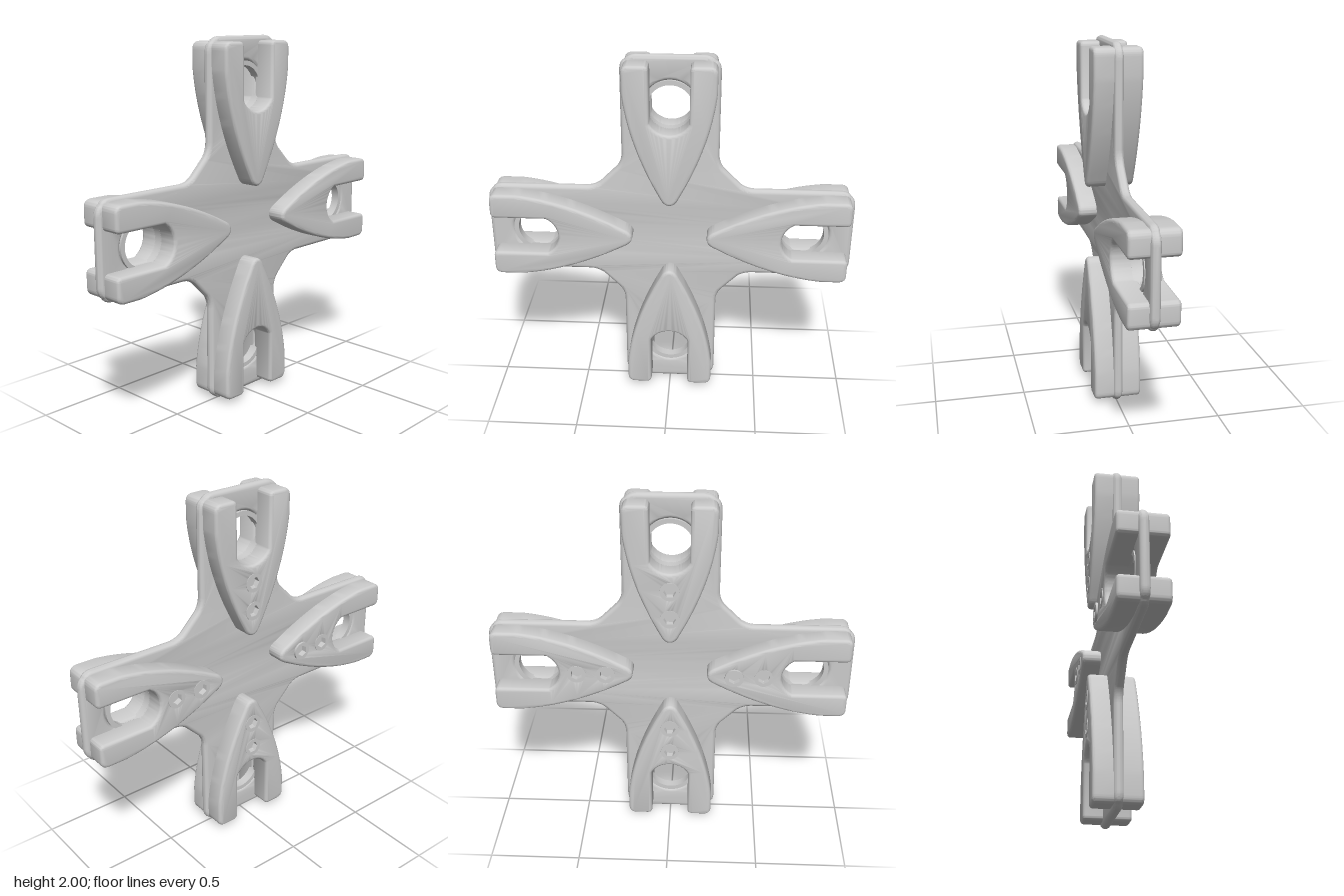
import * as THREE from 'three';
import { toCreasedNormals } from 'three/addons/utils/BufferGeometryUtils.js';

const grey = new THREE.MeshStandardMaterial({ color: 0xcccccc });
const HOLE_Y = 0.725, HOLE_R = 0.118; // through-hole on each arm
const BOLTS = [0.35, 0.51];           // bolt distances from the centre

function circle(r, y = 0, PathType = THREE.Path) {
  return new PathType().absarc(0, y, r, 0, Math.PI * 2);
}

function extrude(shape, options) {
  const geo = new THREE.ExtrudeGeometry(shape, { curveSegments: 16, bevelEnabled: false, ...options });
  return toCreasedNormals(geo, 0.65);
}

function part(name, geo, z = 0) {
  const mesh = new THREE.Mesh(geo, grey);
  mesh.name = name;
  mesh.position.z = z;
  return mesh;
}

// Thin cross-shaped plate with a fully rounded rim
function plateGeometry() {
  const w = 0.26, end = 0.998, r = 0.09;
  const shape = new THREE.Shape();
  const holeR = HOLE_R + 0.024;
  for (let k = 0; k < 4; k++) {
    const a = k * Math.PI / 2, c = Math.cos(a), s = Math.sin(a);
    const p = (x, y) => [x * c - y * s, x * s + y * c];
    if (k === 0) shape.moveTo(...p(w, 0.46));
    shape.lineTo(...p(w, end - r));
    shape.quadraticCurveTo(...p(w, end - r * 0.45), ...p(w - r * 0.3, end - r * 0.3));
    shape.quadraticCurveTo(...p(w - r * 0.55, end), ...p(w - r, end));
    shape.lineTo(...p(-w + r, end));
    shape.quadraticCurveTo(...p(-w + r * 0.55, end), ...p(-w + r * 0.3, end - r * 0.3));
    shape.quadraticCurveTo(...p(-w, end - r * 0.45), ...p(-w, end - r));
    shape.lineTo(...p(-w, 0.46));
    // chamfered, softened inner corner towards the next arm
    shape.quadraticCurveTo(...p(-w, 0.41), ...p(-0.29, 0.375));
    shape.lineTo(...p(-0.375, 0.29));
    shape.quadraticCurveTo(...p(-0.41, w), ...p(-0.46, w));
    const [hx, hy] = p(0, HOLE_Y);
    shape.holes.push(new THREE.Path().absarc(hx, hy, holeR, 0, Math.PI * 2));
  }
  const geo = extrude(shape, {
    depth: 0.004, bevelEnabled: true, bevelThickness: 0.023,
    bevelSize: 0.023, bevelOffset: -0.023, bevelSegments: 5,
  });
  return geo.translate(0, 0, -0.002);
}

// Straight-walled lining that gives each plate hole a crisp edge
function liningGeometry() {
  const ring = circle(HOLE_R + 0.025, 0, THREE.Shape);
  ring.holes.push(circle(HOLE_R));
  return extrude(ring, { depth: 0.05, curveSegments: 32 }).translate(0, HOLE_Y, -0.025);
}

// Pointed, two-pronged pad; the back version has bolt openings
function clawGeometry(withBolts) {
  const s = 0.105, top = 0.972, half = Math.asin(s / HOLE_R);
  const shape = new THREE.Shape();
  shape.moveTo(0, 0.203);
  shape.quadraticCurveTo(0.03, 0.203, 0.05, 0.245);
  shape.quadraticCurveTo(0.215, 0.55, 0.243, 0.83);
  shape.lineTo(0.243, top - 0.045);
  shape.quadraticCurveTo(0.243, top, 0.2, top);
  shape.lineTo(s + 0.03, top);
  shape.quadraticCurveTo(s, top, s, top - 0.03);
  shape.absarc(0, HOLE_Y, HOLE_R, -Math.PI / 2 + half, -Math.PI / 2 - half, true);
  shape.lineTo(-s, top - 0.03);
  shape.quadraticCurveTo(-s, top, -s - 0.03, top);
  shape.lineTo(-0.2, top);
  shape.quadraticCurveTo(-0.243, top, -0.243, top - 0.045);
  shape.lineTo(-0.243, 0.83);
  shape.quadraticCurveTo(-0.215, 0.55, -0.05, 0.245);
  shape.quadraticCurveTo(-0.03, 0.203, 0, 0.203);
  if (withBolts) for (const y of BOLTS) shape.holes.push(circle(0.032, y));
  const b = 0.018;
  const geo = extrude(shape, {
    depth: 0.13 - 2 * b, bevelEnabled: true, bevelThickness: b,
    bevelSize: b, bevelOffset: -b, bevelSegments: 4,
  });
  return geo.translate(0, 0, b);
}

// Round bolt head with a hexagonal socket, its top at z = 0
function boltHeadGeometry() {
  const head = circle(0.052, 0, THREE.Shape);
  const hex = [];
  for (let i = 0; i < 6; i++) {
    const a = i * Math.PI / 3;
    hex.push(new THREE.Vector2(0.033 * Math.cos(a), 0.033 * Math.sin(a)));
  }
  head.holes.push(new THREE.Path(hex));
  return extrude(head, { depth: 0.04 }).translate(0, 0, -0.04);
}

export function createModel() {
  const model = new THREE.Group();
  model.name = 'crossBracket';
  model.position.y = 1;
  model.add(part('plate', plateGeometry()));

  const lining = liningGeometry();
  const frontClaw = clawGeometry(false), backClaw = clawGeometry(true);
  const boltHead = boltHeadGeometry();
  const socketFloor = new THREE.CircleGeometry(0.04, 24);

  for (let k = 0; k < 4; k++) {
    const arm = new THREE.Group();
    arm.name = ['topArm', 'rightArm', 'bottomArm', 'leftArm'][k];
    arm.rotation.z = k * Math.PI / 2;
    arm.add(part('holeLining', lining), part('frontClaw', frontClaw));

    // Back half: claw plus two bolts
    const back = new THREE.Group();
    back.name = 'backHalf';
    back.rotation.y = Math.PI;
    back.add(part('backClaw', backClaw));
    BOLTS.forEach((y, i) => {
      const bolt = new THREE.Group();
      bolt.name = 'bolt';
      // one bolt stands a little prouder than the rest
      bolt.position.set(0, y, k === 1 && i === 0 ? 0.142 : 0.133);
      bolt.add(part('boltHead', boltHead), part('socketFloor', socketFloor, -0.032));
      back.add(bolt);
    });
    arm.add(back);
    model.add(arm);
  }

  const root = new THREE.Group();
  root.name = 'model';
  root.add(model);
  return root;
}
